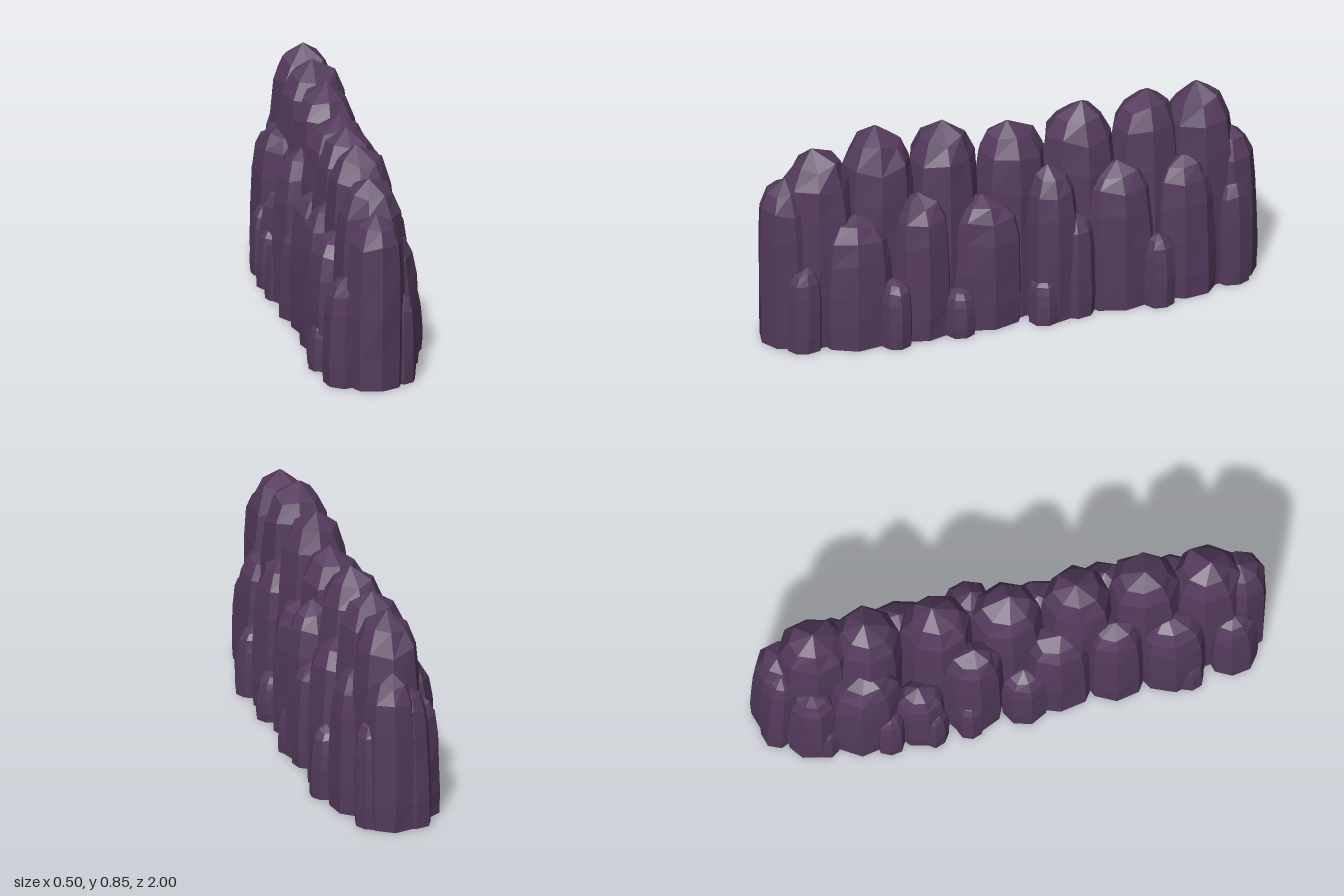
import * as THREE from 'three';

const stone = new THREE.MeshStandardMaterial({ color: 0x543b5c });
stone.name = 'dark purple stone';

// small seeded generator, so each boulder is a little irregular
let seed = 11;
const rand = () => {
  seed = (seed * 16807) % 2147483647;
  return seed / 2147483647;
};
const jitter = (a) => (rand() * 2 - 1) * a;

// height fraction and radius fraction of each ring
const PROFILE = [[0, 0.96], [0.18, 1], [0.42, 1.0], [0.66, 0.96], [0.83, 0.86], [0.93, 0.6]];
const SIDES = 8;

// one faceted column: base centre x, z, height h, radii rx, rz, and top drift
function rock(name, x, z, h, rx, rz, driftX = 0, driftZ = 0) {
  const turn = jitter(0.22);
  const wobble = Array.from({ length: SIDES }, () => 1 + jitter(0.04));
  const rings = PROFILE.map(([t, r], k) => wobble.map((w, i) => {
    const a = turn + (i / SIDES) * Math.PI * 2;
    const s = r * w * (1 + jitter(0.03));
    const y = k ? (t + jitter(0.022)) * h : 0;
    return [x + driftX * t * t + Math.sin(a) * rx * s, y, z + driftZ * t * t + Math.cos(a) * rz * s];
  }));
  const apex = [x + driftX + jitter(0.12) * rx, h, z + driftZ + jitter(0.12) * rz];
  const hollow = [x + jitter(0.3) * rx, 0.008 + rand() * 0.025, z + jitter(0.3) * rz];

  const pos = [];
  const tri = (a, b, c) => pos.push(...a, ...b, ...c);
  for (let i = 0; i < SIDES; i++) {
    const j = (i + 1) % SIDES;
    for (let k = 0; k < rings.length - 1; k++) {
      const lo = rings[k], hi = rings[k + 1];
      tri(lo[i], lo[j], hi[j]);
      tri(lo[i], hi[j], hi[i]);
    }
    const top = rings[rings.length - 1];
    tri(top[i], top[j], apex);
    tri(rings[0][j], rings[0][i], hollow); // rough underside
  }
  const geo = new THREE.BufferGeometry();
  geo.setAttribute('position', new THREE.Float32BufferAttribute(pos, 3));
  geo.computeVertexNormals(); // separate triangles, so the facets stay flat
  const mesh = new THREE.Mesh(geo, stone);
  mesh.name = name;
  return mesh;
}

export function createModel() {
  const group = new THREE.Group();
  group.name = 'rockWall';
  const add = (...args) => group.add(rock(...args));

  // tall ridge columns: z, height
  [[0.77, 0.79], [0.525, 0.845], [0.265, 0.825], [-0.01, 0.79], [-0.285, 0.825], [-0.555, 0.825], [-0.765, 0.825]]
    .forEach(([z, h]) => add('ridgeRock', 0.005, z, h, 0.14, 0.152));

  // end columns
  add('frontEndRock', 0.005, 0.885, 0.685, 0.115, 0.115, 0.005, 0.02);
  add('frontSideRock', -0.11, 0.845, 0.43, 0.078, 0.095, 0.01);
  add('frontSideRock', 0.115, 0.85, 0.345, 0.055, 0.07);
  add('backEndRock', 0.02, -0.885, 0.62, 0.11, 0.115);
  add('backSideRock', 0.09, -0.875, 0.44, 0.07, 0.075);
  add('backSideRock', -0.06, -0.91, 0.56, 0.075, 0.07, 0.01, 0.02);

  // flank columns: x, z, height, radius x, radius z (all lean inwards a little)
  const leftFlank = [
    [0.1, 0.64, 0.53, 0.11, 0.155], [0.11, 0.385, 0.59, 0.105, 0.125], [0.1, 0.125, 0.53, 0.11, 0.155],
    [0.13, -0.135, 0.63, 0.1, 0.105], [0.11, -0.41, 0.59, 0.11, 0.155], [0.1, -0.675, 0.575, 0.1, 0.13],
    [0.16, -0.225, 0.42, 0.065, 0.075],
  ];
  const rightFlank = [
    [-0.105, 0.61, 0.54, 0.11, 0.145], [-0.1, 0.39, 0.58, 0.105, 0.125],
    [-0.1, 0.17, 0.56, 0.105, 0.14], [-0.145, 0.03, 0.36, 0.085, 0.095], [-0.12, -0.165, 0.61, 0.1, 0.125],
    [-0.15, -0.375, 0.38, 0.09, 0.1], [-0.115, -0.585, 0.575, 0.115, 0.15], [-0.12, -0.79, 0.48, 0.085, 0.1],
  ];
  leftFlank.forEach(([x, z, h, rx, rz]) => add('leftFlankRock', x, z, h, rx, rz, -0.01));
  rightFlank.forEach(([x, z, h, rx, rz]) => add('rightFlankRock', x, z, h, rx, rz, 0.01));

  // little stones at the foot: x, z, height, radius
  [
    [0.185, 0.51, 0.275, 0.065], [0.18, 0.25, 0.19, 0.06], [0.18, -0.09, 0.19, 0.065], [0.183, -0.55, 0.29, 0.065],
    [-0.165, 0.67, 0.2, 0.055], [-0.19, -0.19, 0.25, 0.055], [-0.195, -0.33, 0.24, 0.055],
    [-0.192, -0.5, 0.28, 0.058], [-0.16, -0.74, 0.2, 0.05],
  ].forEach(([x, z, h, r]) => add('footStone', x, z, h, r, r, x > 0 ? -0.01 : 0.01));

  return group;
}
